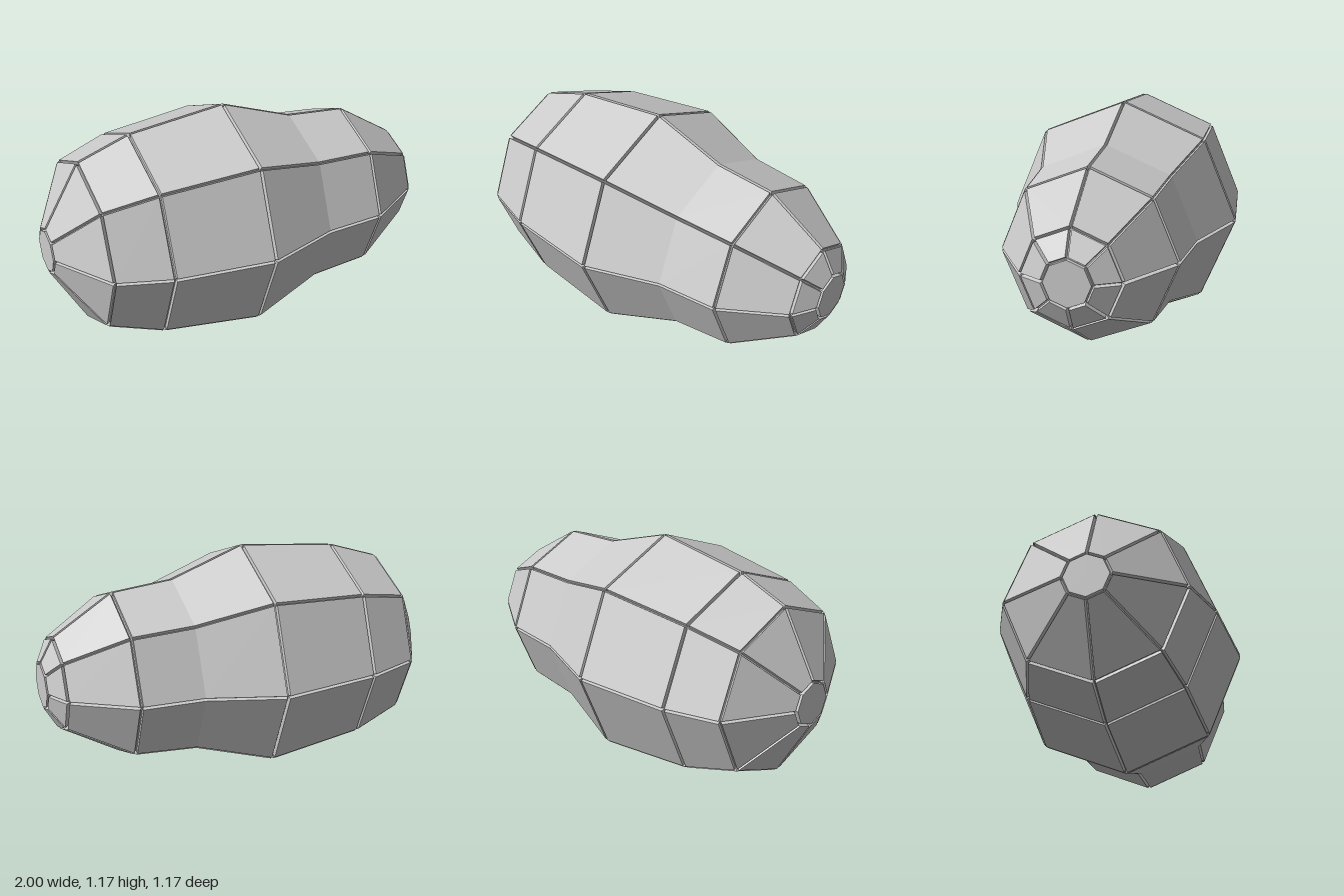
import * as THREE from 'three';

const SIDES = 8, DEPTH = 0.022, GAP = 0.008, BASE_GAP = 0.003, CENTER_Y = 0.588;

// Hull outline along x: [x, radius at the octagon corners]
const OUTLINE = [
  [-1, 0], [-1, 0.115], [-0.817, 0.435], [-0.55, 0.528], [-0.053, 0.588],
  [0.32, 0.457], [0.63, 0.432], [0.932, 0.243], [1, 0.12], [1, 0],
].map(([x, r]) => new THREE.Vector2(x, r));

// Stations covered by each ring of panels
const RINGS = [[1, 2], [2, 3], [3, 4], [4, 5, 6], [6, 7], [7, 8]];

// Outline pushed inward by the groove depth
function insetOutline() {
  const normal = (a, b) => new THREE.Vector2(a.y - b.y, b.x - a.x).normalize();
  const last = OUTLINE.length - 1;
  return OUTLINE.map((p, i) => {
    const n1 = normal(OUTLINE[Math.max(i - 1, 0)], OUTLINE[Math.max(i, 1)]);
    const n2 = normal(OUTLINE[Math.min(i, last - 1)], OUTLINE[Math.min(i + 1, last)]);
    const miter = n1.clone().add(n2).multiplyScalar(DEPTH / (1 + n1.dot(n2)));
    return p.clone().sub(miter);
  });
}

// Two rows of points (one per panel side), trimmed back by gap all round
function panelRows(profile, stations, side, gap) {
  const pts = stations.map((s) => profile[s].clone());
  const n = pts.length;
  const dir = (a, b) => b.clone().sub(a).normalize().multiplyScalar(gap);
  const start = dir(pts[0], pts[1]), end = dir(pts[n - 1], pts[n - 2]);
  pts[0].add(start);
  pts[n - 1].add(end);
  const ray = (k, p) => {
    const a = (k / SIDES) * Math.PI * 2;
    return new THREE.Vector3(p.x, p.y * Math.cos(a), p.y * Math.sin(a));
  };
  const rows = [[], []];
  for (const p of pts) {
    const a = ray(side, p), b = ray(side + 1, p);
    const t = b.clone().sub(a).normalize().multiplyScalar(gap);
    rows[0].push(a.add(t));
    rows[1].push(b.sub(t));
  }
  return rows;
}

// Raised plate with sloping walls down to the core
function panelGeometry(inner, stations, side) {
  const [b, a] = panelRows(OUTLINE, stations, side, GAP);
  const [d, c] = panelRows(inner, stations, side, BASE_GAP);
  const pos = [];
  // Corners run counter-clockwise seen from outside
  const quad = (p, q, r, s) => [p, q, r, p, r, s].forEach((v) => pos.push(v.x, v.y, v.z));
  const n = stations.length - 1;
  for (let i = 0; i < n; i++) {
    quad(a[i], a[i + 1], b[i + 1], b[i]);
    quad(c[i], c[i + 1], a[i + 1], a[i]);
    quad(b[i], b[i + 1], d[i + 1], d[i]);
  }
  quad(c[0], a[0], b[0], d[0]);
  quad(a[n], c[n], d[n], b[n]);
  const g = new THREE.BufferGeometry();
  g.setAttribute('position', new THREE.Float32BufferAttribute(pos, 3));
  g.computeVertexNormals();
  return g;
}

export function createModel() {
  const model = new THREE.Group();
  model.name = 'panelledHull';
  const mat = new THREE.MeshStandardMaterial({ color: 0xcccccc, flatShading: true });
  const hull = new THREE.Group();
  hull.name = 'hull';
  hull.position.y = CENTER_Y;
  model.add(hull);

  const add = (parent, geometry, name) => {
    const mesh = new THREE.Mesh(geometry, mat);
    mesh.name = name;
    parent.add(mesh);
    return mesh;
  };

  // Core seen at the bottom of the grooves, turned from upright onto the x axis
  const inner = insetOutline();
  const core = new THREE.LatheGeometry(inner.map((p) => new THREE.Vector2(p.y, p.x)), SIDES);
  core.rotateZ(-Math.PI / 2);
  add(hull, core, 'core');

  // Rings of raised panels
  RINGS.forEach((stations, r) => {
    const ring = new THREE.Group();
    ring.name = `panelRing${r + 1}`;
    hull.add(ring);
    for (let k = 0; k < SIDES; k++) {
      add(ring, panelGeometry(inner, stations, k), `panel${k + 1}`);
    }
  });

  // Octagonal end plates
  for (const [end, station, name] of [[-1, 1, 'rearCap'], [1, 8, 'noseCap']]) {
    const top = OUTLINE[station].y - GAP, base = inner[station].y - BASE_GAP;
    const cap = new THREE.CylinderGeometry(top, base, DEPTH, SIDES);
    cap.rotateZ(-end * Math.PI / 2);
    add(hull, cap, name).position.x = end * (1 - DEPTH / 2);
  }
  return model;
}
